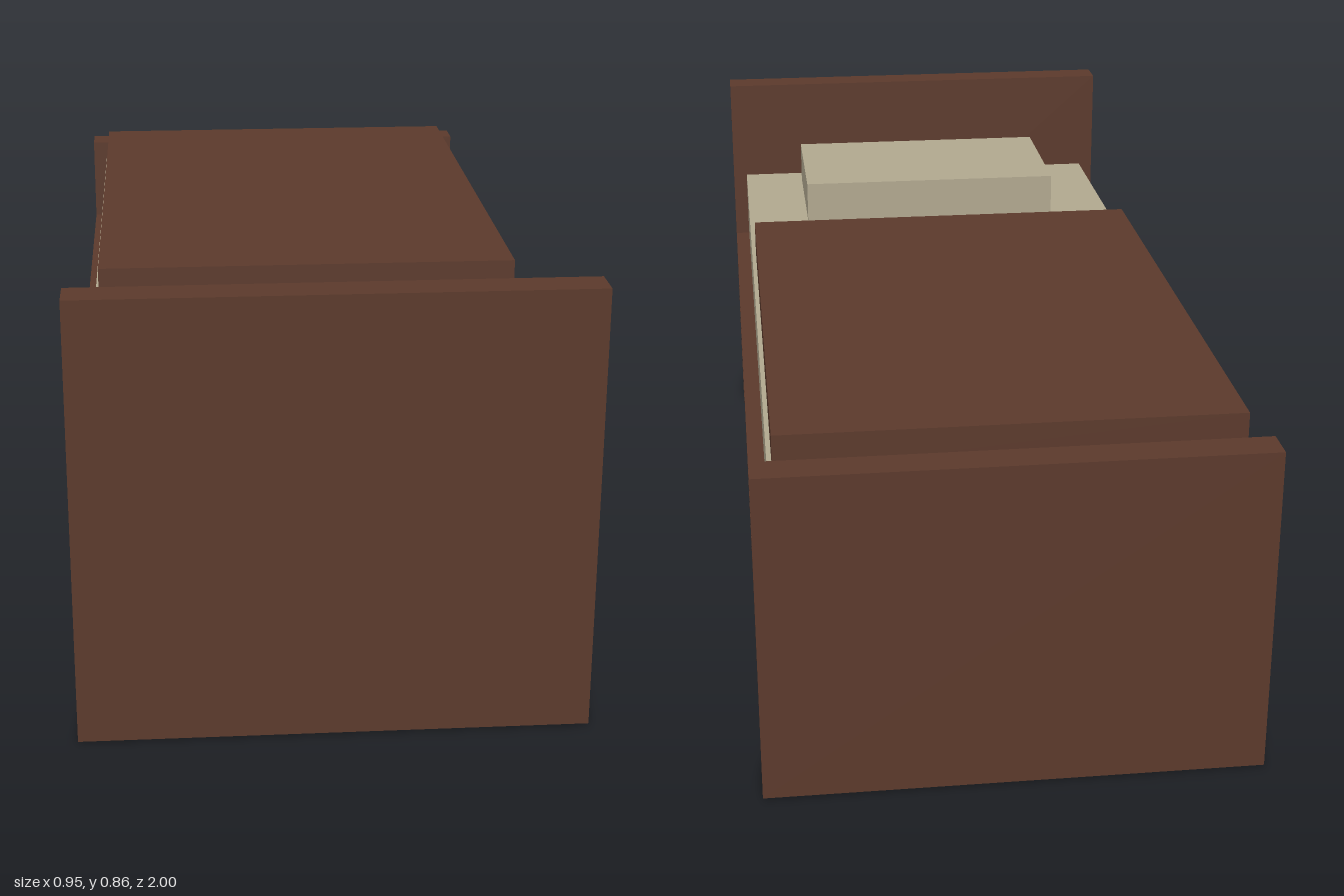
import * as THREE from 'three';

export function createModel() {
  const bed = new THREE.Group();
  bed.name = 'bed';

  const wood = new THREE.MeshStandardMaterial({ color: 0x5c3a2c });
  wood.name = 'brown';
  const linen = new THREE.MeshStandardMaterial({ color: 0xb2a990 });
  linen.name = 'cream';

  // Box given by its extents along each axis
  function box(name, material, [x0, x1], [y0, y1], [z0, z1]) {
    const mesh = new THREE.Mesh(new THREE.BoxGeometry(x1 - x0, y1 - y0, z1 - z0), material);
    mesh.position.set((x0 + x1) / 2, (y0 + y1) / 2, (z0 + z1) / 2);
    mesh.name = name;
    bed.add(mesh);
  }

  // End boards and the slab between them
  const width = [-0.475, 0.475];
  box('headboard', wood, width, [0.005, 0.86], [0.93, 1]);
  box('footboard', wood, width, [0.005, 0.66], [-1, -0.93]);
  box('bedFrame', wood, width, [0.385, 0.462], [-0.93, 0.93]);

  // Square corner legs, partly sunk into the end boards
  for (const sx of [-1, 1]) {
    for (const sz of [-1, 1]) {
      const x = sx * 0.44, z = sz * 0.935;
      box('leg', wood, [x - 0.035, x + 0.035], [0, 0.386], [z - 0.035, z + 0.035]);
    }
  }

  // Bedding
  box('mattress', linen, [-0.442, 0.442], [0.472, 0.622], [-0.93, 0.93]);
  box('pillow', linen, [-0.3, 0.3], [0.622, 0.715], [0.525, 0.877]);
  box('blanket', wood, [-0.433, 0.433], [0.622, 0.696], [-0.902, 0.302]);

  return bed;
}
